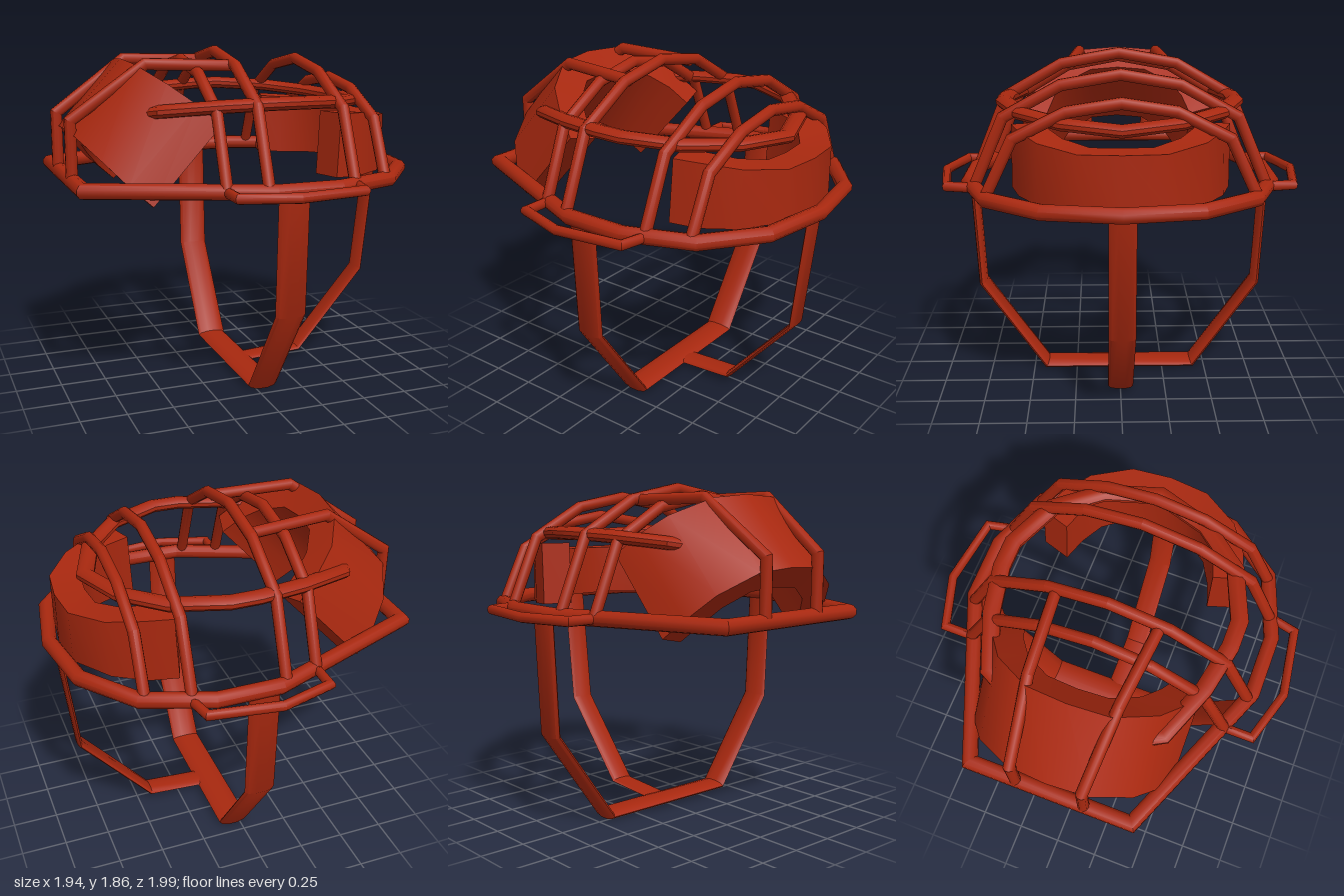
import * as THREE from 'three';
import { toCreasedNormals } from 'three/addons/utils/BufferGeometryUtils.js';

const V = (x, y, z) => new THREE.Vector3(x, y, z);
const X = V(1, 0, 0), Y = V(0, 1, 0), Z = V(0, 0, 1);

// Cross-sections: [across, along up] pairs, counter-clockwise
const oval = (a, b, n = 10) => Array.from({ length: n }, (_, i) => {
  const t = (i + 0.5) / n * Math.PI * 2;
  return [a * Math.cos(t) / Math.cos(Math.PI / n), b * Math.sin(t) / Math.cos(Math.PI / n)];
});
const slab = (a, b) => [[a, -b], [a, b], [-a, b], [-a, -b]];

// Sweeps a section along a path with mitred corners
function sweep(path, up, section, closed = false, heights = null) {
  const P = path.map(p => V(...p)), n = P.length, m = section.length;
  const pos = [], idx = [];
  P.forEach((p, i) => {
    const prev = closed ? P[(i + n - 1) % n] : P[Math.max(i - 1, 0)];
    const next = closed ? P[(i + 1) % n] : P[Math.min(i + 1, n - 1)];
    const a = p.clone().sub(prev).normalize(), b = next.clone().sub(p).normalize();
    const t = a.clone().add(b).normalize();
    const mitre = 1 / Math.max(0.5, a.lengthSq() > 0 ? t.dot(a) : t.dot(b));
    const side = up.clone().cross(t).normalize(), top = t.clone().cross(side);
    for (const [u, v] of section) {
      const q = p.clone().addScaledVector(side, u * mitre).addScaledVector(top, v * (heights ? heights[i] : 1));
      pos.push(q.x, q.y, q.z);
    }
  });
  for (let i = 0; i < (closed ? n : n - 1); i++) {
    for (let k = 0; k < m; k++) {
      const a = i * m + k, b = i * m + (k + 1) % m, j = ((i + 1) % n) * m;
      const c = j + (k + 1) % m, d = j + k;
      idx.push(a, b, c, a, c, d);
    }
  }
  if (!closed) {
    const e = (n - 1) * m;
    for (let k = 1; k < m - 1; k++) idx.push(0, k + 1, k, e, e + k, e + k + 1);
  }
  const g = new THREE.BufferGeometry();
  g.setAttribute('position', new THREE.Float32BufferAttribute(pos, 3));
  g.setIndex(idx);
  return toCreasedNormals(g, 0.7);
}

// Completes a half path (z >= 0, ending at or near z = 0) with its mirror image
function mirrored(half) {
  const other = half.filter(p => p[2] > 0).map(([x, y, z]) => [x, y, -z]).reverse();
  return [...half, ...other];
}

export function createModel() {
  const model = new THREE.Group();
  const red = new THREE.MeshStandardMaterial({ color: 0xa8280f });
  red.name = 'red';
  const add = (name, geometry) => {
    const mesh = new THREE.Mesh(geometry, red);
    mesh.name = name;
    model.add(mesh);
    return mesh;
  };

  // Main rim
  const R = 1.19;
  add('rim', sweep(mirrored([[-0.93, R, 0.45], [-0.05, R, 0.81], [0.29, R, 0.81],
    [0.64, R, 0.68], [0.865, R, 0.39], [0.93, R, 0]]), Y, oval(0.04, 0.04), true));

  // Cross hoops: x position, half width at the rim, height of the crown
  for (const [x, w, top] of [[-0.28, 0.73, 1.79], [-0.085, 0.8, 1.83], [0.4, 0.77, 1.78], [0.615, 0.69, 1.67]]) {
    const h = top - R;
    add('hoop', sweep(mirrored([[x, R, w], [x, R + h * 0.63, w * 0.79],
      [x, R + h * 0.91, w * 0.4], [x, top, 0]]), X, oval(0.03, 0.03)));
  }

  // Bars and ear guards on both sides
  for (const s of [1, -1]) {
    add('lengthwiseBar', sweep([[-0.935, R, 0.19 * s], [-0.935, 1.505, 0.19 * s],
      [-0.545, 1.785, 0.23 * s], [-0.085, 1.77, 0.272 * s]], Z, oval(0.03, 0.03)));
    add('earGuard', sweep([[-0.28, R, 0.72 * s], [-0.28, R, 0.885 * s], [0.005, R, 0.97 * s],
      [0.375, R, 0.915 * s], [0.41, R, 0.76 * s]], Y, oval(0.023, 0.026)));
  }

  // Inner head band
  add('headBand', sweep(mirrored([[-0.58, 1.545, 0.36], [-0.53, 1.565, 0.46], [-0.25, 1.59, 0.57],
    [0, 1.6, 0.62], [0.15, 1.6, 0.62], [0.42, 1.585, 0.51], [0.61, 1.565, 0.29], [0.71, 1.55, 0]]),
  Y, oval(0.045, 0.033)));

  // Curved pads: half height at the apex and the ends, rise of the ends
  const pad = (name, apex, end, rise) => add(name, sweep(mirrored([[-0.42, rise, 0.49],
    [-0.28, rise * 0.7, 0.445], [-0.14, rise * 0.35, 0.36], [-0.02, 0, 0.19], [0, 0, 0]]),
  Y, slab(0.08, 1), false, [end, end, (apex + end) / 2, apex, apex, apex, (apex + end) / 2, end, end]));
  pad('frontPad', 0.14, 0.17, 0.03).position.set(0.8, 1.33, 0);
  const rear = pad('rearPad', 0.24, 0.265, 0);
  rear.position.set(-0.72, 1.57, 0);
  rear.rotation.z = 2.4;

  // Straps
  add('chinStrap', sweep([[0.04, R, 0.815], [0.04, 0.54, 0.785], [0.04, 0.025, 0.425],
    [0.04, 0.025, -0.425], [0.04, 0.54, -0.785], [0.04, R, -0.815]], X, oval(0.023, 0.08)));
  add('crossStrap', sweep([[0.9, R, 0], [0.825, 0.51, 0], [0.425, 0.047, 0], [0.04, 0.022, 0]],
    Z, oval(0.015, 0.066)));

  return model;
}
